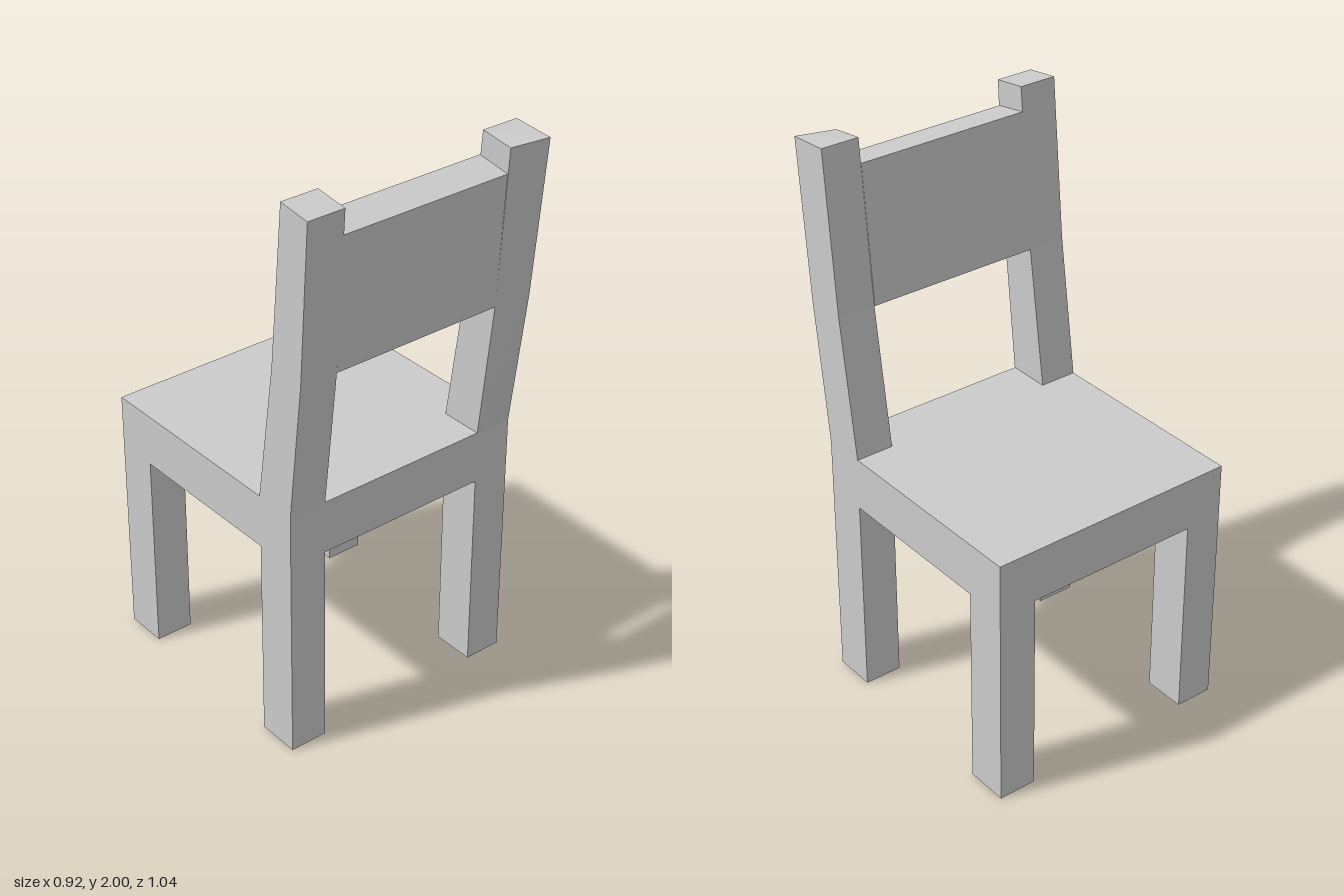
import * as THREE from 'three';

const material = new THREE.MeshStandardMaterial({ color: 0xcccccc, flatShading: true, side: THREE.DoubleSide });

const INNER = 0.32, OUTER = 0.458;         // post and leg edges in x
const UNDER = 0.74, SEAT = 0.93;           // seat underside and top

// Four corners, counter-clockwise from above; each level is [z, y] at the front and back.
function ring(x0, x1, [zf, yf], [zb, yb], [zb1, yb1] = [zb, yb]) {
  return [[x0, yf, zf], [x0, yb, zb], [x1, yb1, zb1], [x1, yf, zf]];
}

// Flat-sided solid through a stack of rings, with optional end caps.
function loft(name, rings, capped = true) {
  const pos = [];
  const quad = (a, b, c, d) => [a, b, c, a, c, d].forEach((p) => pos.push(...p));
  for (let i = 0; i + 1 < rings.length; i++) {
    const lo = rings[i], hi = rings[i + 1];
    for (let k = 0; k < 4; k++) {
      const n = (k + 1) % 4;
      quad(lo[k], lo[n], hi[n], hi[k]);
    }
  }
  if (capped) {
    quad(...rings[rings.length - 1]);
    quad(...[...rings[0]].reverse());
  }
  const geo = new THREE.BufferGeometry();
  geo.setAttribute('position', new THREE.Float32BufferAttribute(pos, 3));
  geo.computeVertexNormals();
  const mesh = new THREE.Mesh(geo, material);
  mesh.name = name;
  return mesh;
}

export function createModel() {
  const chair = new THREE.Group();
  chair.name = 'chair';

  // Seat slab
  const seat = new THREE.Mesh(new THREE.BoxGeometry(2 * OUTER, SEAT - UNDER, 0.918), material);
  seat.position.set(0, (SEAT + UNDER) / 2, -0.06);
  seat.name = 'seat';
  chair.add(seat);

  for (const side of [-1, 1]) {
    const label = side > 0 ? 'Left' : 'Right';
    const [x0, x1] = side > 0 ? [INNER, OUTER] : [-OUTER, -INNER];

    // Hollow legs, open at the foot
    for (const [name, z0, z1] of [['front', -0.519, -0.365], ['back', 0.245, 0.399]]) {
      const level = (y) => ring(x0, x1, [z0, y], [z1, y]);
      chair.add(loft(`${name}Leg${label}`, [level(0), level(UNDER)], false));
    }

    // Leaning back posts; the left one flares slightly at its outer back edge
    const flare = side > 0;
    chair.add(loft(`backPost${label}`, [
      ring(x0, x1, [0.243, SEAT], [0.399, SEAT]),
      ring(x0, x1, [0.315, 1.43], [0.455, 1.43], [flare ? 0.465 : 0.455, 1.43]),
      ring(x0, x1, [0.367, 2], [0.49, 1.984], [flare ? 0.517 : 0.49, flare ? 1.989 : 1.984]),
    ]));
  }

  // Backrest panel between the posts
  chair.add(loft('backrestPanel', [
    ring(-INNER, INNER, [0.312, 1.43], [0.455, 1.425]),
    ring(-INNER, INNER, [0.358, 1.915], [0.482, 1.895]),
  ]));

  return chair;
}
